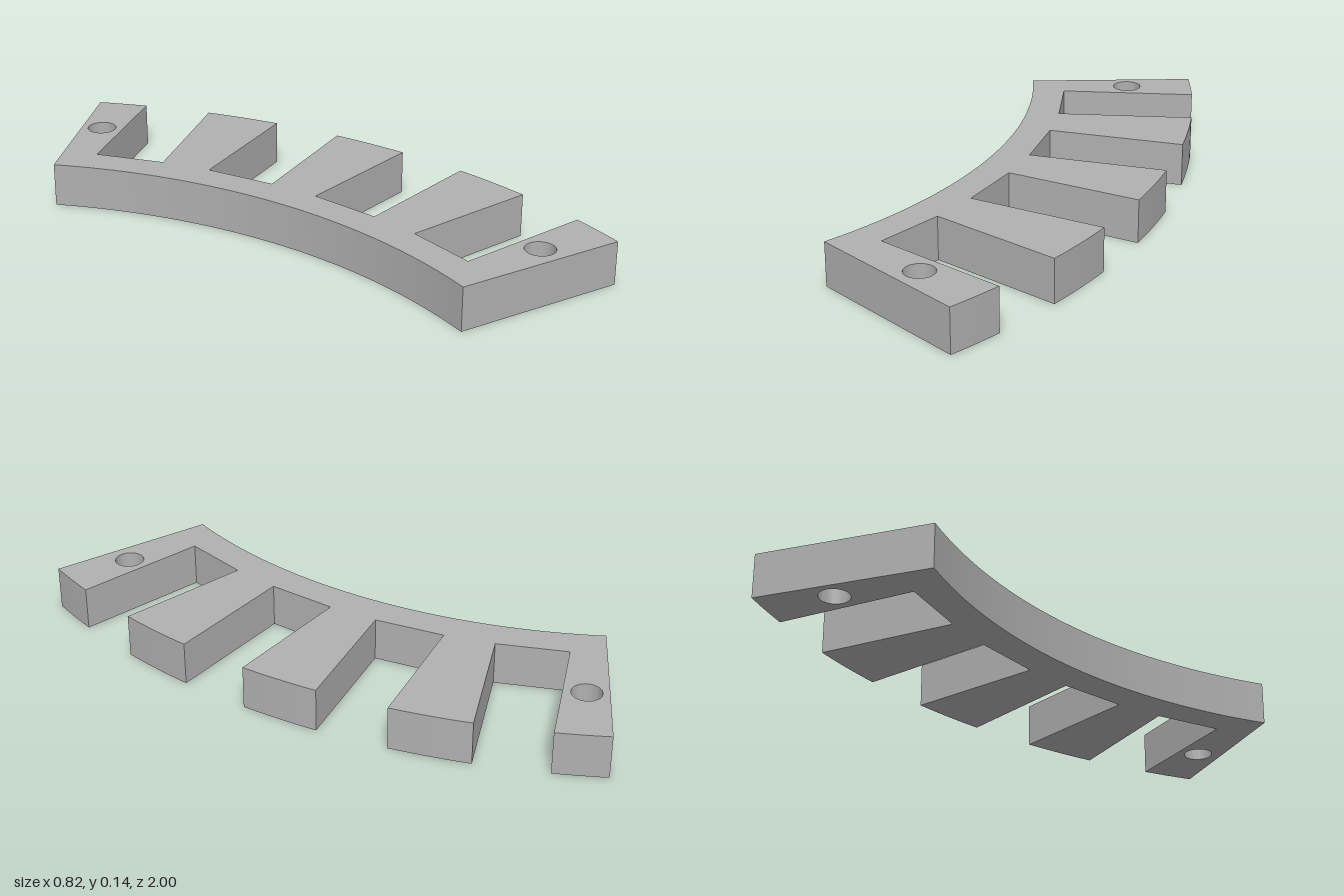
import * as THREE from 'three';
import { toCreasedNormals } from 'three/addons/utils/BufferGeometryUtils.js';

const rad = THREE.MathUtils.degToRad;

export function createModel() {
  const group = new THREE.Group();
  const grey = new THREE.MeshStandardMaterial({ color: 0xb0b0b0 });
  grey.name = 'plain grey';

  // Arc centre, radii and end angles of the curved comb, in plan (y = -z)
  const cx = -1.988, cy = -0.22;
  const inner = 1.833, outer = 2.4, slotFloor = 1.941, halfSlot = 0.117;
  const start = rad(-18.95), end = rad(30.5), step = rad(11.82);
  const height = 0.144;

  // Point from distance along a radial line and offset across it
  const at = (angle, along, across = 0) => [
    cx + along * Math.cos(angle) - across * Math.sin(angle),
    cy + along * Math.sin(angle) + across * Math.cos(angle),
  ];

  const outline = new THREE.Shape();
  const arc = (radius, from, to, segments) => {
    for (let i = 0; i <= segments; i++) {
      outline.lineTo(...at(from + ((to - from) * i) / segments, radius));
    }
  };

  // Outer edge: curved tooth tips separated by parallel-sided slots
  const slotAngle = Math.asin(halfSlot / outer);
  let from = start;
  outline.moveTo(...at(start, inner));
  for (let i = -1; i <= 2; i++) {
    const a = i * step;
    arc(outer, from, a - slotAngle, 6);
    outline.lineTo(...at(a, slotFloor, -halfSlot));
    outline.lineTo(...at(a, slotFloor, halfSlot));
    from = a + slotAngle;
  }
  arc(outer, from, end, 6);

  // Inner edge: one continuous curve back to the start
  const segments = 40;
  for (let i = 0; i < segments; i++) {
    outline.lineTo(...at(end + ((start - end) * i) / segments, inner));
  }

  // Mounting holes through the two end teeth
  for (const [x, y] of [[-0.083, 0.821], [0.092, -0.849]]) {
    const hole = new THREE.Path();
    hole.absarc(x, y, 0.048, 0, Math.PI * 2, true);
    outline.holes.push(hole);
  }

  const extruded = new THREE.ExtrudeGeometry(outline, {
    depth: height, bevelEnabled: false, curveSegments: 20,
  });
  extruded.rotateX(-Math.PI / 2);
  const comb = new THREE.Mesh(toCreasedNormals(extruded, 0.4), grey);
  comb.name = 'slottedArc';
  group.add(comb);
  return group;
}
